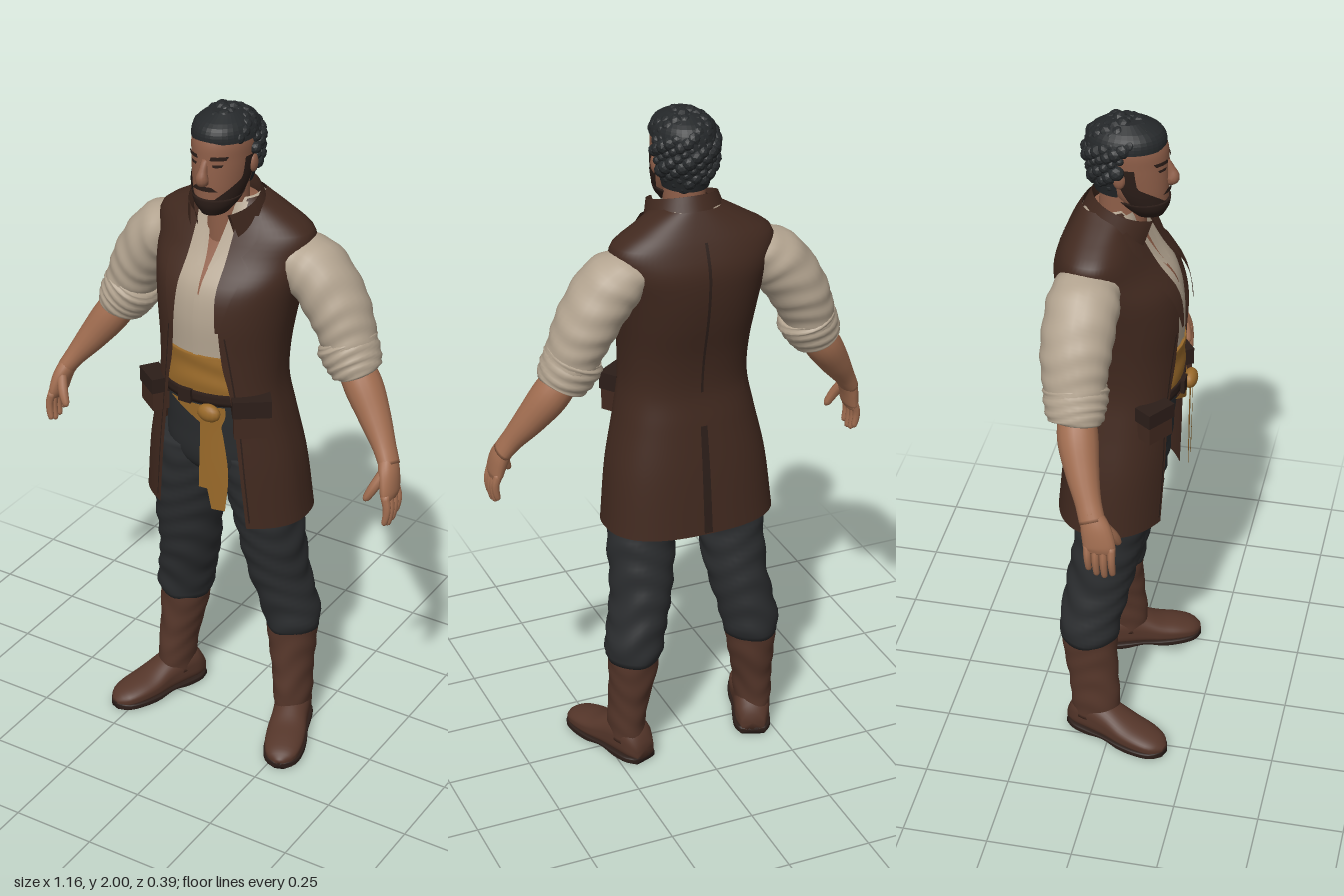
import * as THREE from 'three';
import { mergeGeometries } from 'three/addons/utils/BufferGeometryUtils.js';

const mat = (name, color, side = THREE.FrontSide) => {
  const m = new THREE.MeshStandardMaterial({ color, side });
  m.name = name;
  return m;
};

// Smooth (Hermite) lookup in a table whose first column is the height
function sample(T, y) {
  let i = 0;
  while (i < T.length - 2 && y > T[i + 1][0]) i++;
  const h = T[i + 1][0] - T[i][0], t = Math.min(1, Math.max(0, (y - T[i][0]) / h));
  const slope = (j, k) => {
    const a = T[Math.max(0, j - 1)], b = T[Math.min(T.length - 1, j + 1)];
    return (b[k] - a[k]) / (b[0] - a[0]);
  };
  return T[i].map((a, k) => {
    const b = T[i + 1][k], u = 1 - t;
    return a * (1 + 2 * t) * u * u + b * t * t * (3 - 2 * t) + h * t * u * (u * slope(i, k) - t * slope(i + 1, k));
  });
}

// Skin a list of rings, with optional wrap and end caps
function skin(rings, closed, caps) {
  const n = rings[0].length, pos = rings.flat(2), idx = [];
  for (let i = 0; i < rings.length - 1; i++)
    for (let j = 0; j < (closed ? n : n - 1); j++) {
      const k = (j + 1) % n, a = i * n + j, b = i * n + k;
      idx.push(a, b, b + n, a, b + n, a + n);
    }
  if (caps) [0, rings.length - 1].forEach((r, end) => {
    const c = pos.length / 3;
    for (let k = 0; k < 3; k++) pos.push(rings[r].reduce((s, p) => s + p[k], 0) / n);
    for (let j = 0; j < n; j++) {
      const a = r * n + j, b = r * n + (j + 1) % n;
      idx.push(c, end ? a : b, end ? b : a);
    }
  });
  const g = new THREE.BufferGeometry();
  g.setAttribute('position', new THREE.Float32BufferAttribute(pos, 3));
  g.setIndex(idx);
  g.computeVertexNormals();
  return g;
}

// Stack of horizontal sections. Table rows: [y, centreX, halfWidth, zFront, zBack]
function loft(T, { y0 = T[0][0], y1 = T[T.length - 1][0], rows = 24, n = 36, pf = 2, pb = 2, grow = 0, range, wrinkle = 0 } = {}) {
  const rings = [];
  for (let i = 0; i <= rows; i++) {
    const y = y0 + (y1 - y0) * i / rows, [, cx, hw, zf, zb] = sample(T, y), zc = (zf + zb) / 2;
    const [a0, a1] = range ? range(y) : [0, Math.PI * 2], ring = [];
    for (let j = 0; j < (range ? n + 1 : n); j++) {
      const a = a0 + (a1 - a0) * j / n, s = Math.sin(a), c = Math.cos(a), e = 2 / (c > 0 ? pf : pb);
      const g = grow + wrinkle * Math.sin(y * 75 + 2.5 * Math.sin(a * 2 + y * 9));
      ring.push([cx + Math.sign(s) * Math.abs(s) ** e * (hw + g), y, zc + Math.sign(c) * Math.abs(c) ** e * ((zf - zb) / 2 + g)]);
    }
    rings.push(ring);
  }
  return skin(rings, !range, !range);
}

// Tapered limb along a curve. Points: [x, y, z, radiusAcross, radiusDeep]
function limb(P, { rows = 20, n = 18, wrinkle = 0 } = {}) {
  const path = new THREE.CatmullRomCurve3(P.map(p => new THREE.Vector3(p[0], p[1], p[2])));
  const size = new THREE.CatmullRomCurve3(P.map(p => new THREE.Vector3(p[3], p[4] ?? p[3], 0)));
  const rings = [];
  for (let i = 0; i <= rows; i++) {
    const t = i / rows, c = path.getPoint(t), r = size.getPoint(t), d = path.getTangent(t), ring = [];
    const u = d.clone().cross(new THREE.Vector3(0, 0, 1)).normalize(), v = d.clone().cross(u);
    for (let j = 0; j < n; j++) {
      const a = j / n * Math.PI * 2, w = 1 + wrinkle * Math.sin(t * 38 + 2 * Math.sin(a * 2));
      ring.push(c.clone().addScaledVector(u, Math.cos(a) * r.x * w).addScaledVector(v, Math.sin(a) * r.y * w).toArray());
    }
    rings.push(ring);
  }
  return skin(rings, true, true);
}

const COAT = [[0.77, 0, .255, .163, -.182], [.95, 0, .235, .167, -.165], [1.1, 0, .203, .17, -.145], [1.2, 0, .185, .174, -.132],
  [1.3, 0, .186, .175, -.142], [1.42, 0, .2, .176, -.17], [1.51, 0, .215, .155, -.184], [1.58, 0, .23, .1, -.184],
  [1.645, 0, .232, .06, -.162], [1.69, 0, .165, .04, -.14], [1.735, 0, .085, .035, -.115]];
const HEAD = [[1.71, 0, .03, .1, .02], [1.74, 0, .054, .115, -.01], [1.78, 0, .069, .119, -.05], [1.82, 0, .077, .12, -.08],
  [1.87, 0, .082, .118, -.095], [1.92, 0, .083, .114, -.1], [1.96, 0, .068, .09, -.075], [1.98, 0, .035, .045, -.03]];
const LEG = [[.345, .188, .076, .012, -.152], [.375, .187, .085, .02, -.158], [.42, .18, .086, .026, -.156], [.55, .153, .09, .055, -.14],
  [.7, .14, .1, .085, -.118], [.85, .122, .108, .108, -.105], [.97, .105, .1, .12, -.105]];
const SHAFT = [[.06, .206, .05, .02, -.118], [.12, .206, .054, .026, -.122], [.2, .2, .058, .02, -.13], [.28, .192, .068, .015, -.145], [.365, .187, .077, .014, -.153]];
const FOOT = [[-.08, 0, .034, -.012, -.07], [-.05, 0, .05, -.012, -.12], [0, 0, .053, -.012, -.13], [.06, 0, .053, -.012, -.108],
  [.12, 0, .058, -.012, -.08], [.18, 0, .055, -.012, -.065], [.225, 0, .04, -.012, -.05], [.245, 0, .014, -.015, -.034]];
const SOLE = FOOT.map(([d, x, w]) => [d, x, w + .004, d > .01 && d < .1 ? -.01 : 0, -.022]);

export function createModel() {
  const coat = mat('coat brown', 0x41291f, THREE.DoubleSide), shirt = mat('shirt cream', 0xb3a490, THREE.DoubleSide);
  const sash = mat('sash ochre', 0x9a6a2a, THREE.DoubleSide), cloth = mat('trouser charcoal', 0x2b2d2f);
  const boot = mat('boot brown', 0x55362a), skinMat = mat('arm skin', 0xa26e51), face = mat('face skin', 0x8f5f49);
  const hair = mat('hair black', 0x25282a), leather = mat('dark leather', 0x2c1e19, THREE.DoubleSide);
  hair.flatShading = true;

  const model = new THREE.Group();
  const add = (name, geo, m) => {
    const mesh = new THREE.Mesh(geo, m);
    mesh.name = name;
    model.add(mesh);
    return mesh;
  };
  const both = (name, geo, m) => {
    add(name + 'Left', geo, m);
    const g = geo.clone().scale(-1, 1, 1), ix = g.index.array;
    for (let i = 0; i < ix.length; i += 3) [ix[i], ix[i + 1]] = [ix[i + 1], ix[i]];
    add(name + 'Right', g, m);
  };
  // Thin panel lying on the front of a table's surface. Rows: [y, x0, x1]
  const panel = (T, R, grow, pf = 2) => loft(T, {
    y0: R[0][0], y1: R[R.length - 1][0], rows: 12, n: 8, grow, pf,
    range: y => {
      const [, x0, x1] = sample(R, y), hw = sample(T, y)[2] + grow;
      return [x0, x1].map(x => Math.asin(Math.sign(x) * Math.min(1, Math.abs(x / hw) ** (pf / 2))));
    },
  });
  const opening = (T, R) => y => {
    const a = Math.asin(Math.min(1, sample(R, y)[1] / sample(T, y)[2]));
    return [a, Math.PI * 2 - a];
  };

  // Legs and boots
  both('trouserLeg', loft(LEG, { rows: 40, wrinkle: .003 }), cloth);
  add('trouserSeat', loft([[.87, 0, .1, .07, -.07], [.93, 0, .17, .12, -.11], [1.05, 0, .175, .14, -.12], [1.2, 0, .165, .155, -.115]]), cloth);
  both('bootShaft', loft(SHAFT, { wrinkle: .0015 }), boot);
  const footPlace = g => g.rotateX(Math.PI / 2).rotateY(.36).translate(.205, 0, -.05);
  both('bootFoot', footPlace(loft(FOOT, { pf: 4 })), boot);
  both('bootSole', footPlace(loft(SOLE, { pf: 5, pb: 5 })), leather);

  // Torso, shirt with open neck, waist sash and belt
  add('chest', loft(COAT, { y0: 1.4, y1: 1.72, grow: -.025, pb: 2.6 }), face);
  add('shirt', loft(COAT, { y0: 1.18, y1: 1.735, grow: -.012, pb: 2.6, rows: 36, range: opening(COAT, [[1.18, 0], [1.49, .002], [1.6, .016], [1.735, .055]]) }), shirt);
  add('shirtPlacket', panel(COAT, [[1.31, -.008, .008], [1.49, -.008, .008]], -.009), shirt);
  both('shirtCollar', panel(COAT, [[1.56, .012, .022], [1.62, .022, .05], [1.69, .035, .075], [1.73, .045, .075]], .004), shirt);
  add('waistSash', loft(COAT, { y0: 1.19, y1: 1.31, grow: -.007, pb: 2.6, wrinkle: .002 }), sash);
  add('belt', loft(COAT, { y0: 1.16, y1: 1.195, grow: -.004, pb: 2.6, rows: 3 }), leather);
  add('buckle', new THREE.BoxGeometry(.04, .042, .012).translate(-.03, 1.178, .173), leather);
  add('sashWrap', panel(COAT, [[1.1, .02, .08], [1.13, -.03, .09], [1.16, -.085, .09]], .002), sash);
  add('sashTailLong', panel(COAT, [[.83, .055, .095], [.95, .035, .105], [1.08, .03, .09], [1.16, .02, .075]], .014), sash);
  add('sashTailShort', panel(COAT, [[.9, .02, .05], [1.02, .025, .07], [1.15, .03, .07]], .02), sash);
  add('sashKnot', new THREE.SphereGeometry(.03, 14, 10).scale(1.2, .9, .7).translate(.05, 1.145, .178), sash);

  // Sleeveless coat, lapels, collar, trims
  add('coat', loft(COAT, { rows: 56, n: 60, pb: 2.6, range: opening(COAT, [[.77, .145], [.95, .128], [1.1, .112], [1.2, .1], [1.3, .08], [1.5, .068], [1.735, .068]]) }), coat);
  both('coatLapel', panel(COAT, [[1.4, .07, .08], [1.5, .062, .105], [1.58, .06, .125], [1.6, .06, .1], [1.64, .06, .13], [1.7, .062, .12]], .012), coat);
  both('frontSeam', panel(COAT, [[.79, .153, .157], [1.1, .124, .128], [1.38, .088, .092]], .003), leather);
  const COLLAR = [[0, 0, .1, .085, -.1], [.04, 0, .092, .085, -.1], [.08, 0, .098, .098, -.11]];
  const collar = add('coatCollar', loft(COLLAR, { rows: 8, range: () => [.62, Math.PI * 2 - .62] }), coat);
  collar.position.set(0, 1.663, -.008);
  collar.rotation.x = .3;
  const fold = add('coatCollarFold', loft([[0, 0, .122, .1, -.122], [.08, 0, .099, .099, -.111]], { rows: 4, range: () => [.68, Math.PI * 2 - .68] }), coat);
  fold.position.copy(collar.position);
  fold.rotation.x = .3;
  const backStrip = (name, y0, y1, w, grow) => add(name, loft(COAT, { y0, y1, grow, pb: 2.6, rows: 14, n: 12, range: () => [Math.PI - w, Math.PI + w] }), leather);
  backStrip('backVent', .775, 1.1, .02, .003);
  backStrip('backSeam', 1.2, 1.66, .006, .002);
  backStrip('backWaistTab', 1.165, 1.2, .75, .004).material = coat;

  // Belt pouches on the hips
  for (const [name, x, w, h] of [['pouchLeft', .152, .1, .115], ['pouchRight', -.165, .085, .1]]) {
    const pouch = new THREE.Group();
    pouch.name = name;
    const body = new THREE.Mesh(new THREE.BoxGeometry(w, h, .05), coat);
    const flap = new THREE.Mesh(new THREE.BoxGeometry(w + .01, h * .45, .058), leather);
    body.name = 'pouchBody';
    flap.name = 'pouchFlap';
    flap.position.y = h * .3;
    pouch.add(body, flap);
    pouch.position.set(x, 1.135, .118);
    pouch.rotation.y = Math.sign(x) * .62;
    model.add(pouch);
  }

  // Arms with rolled sleeves
  both('sleeve', limb([[.17, 1.585, -.06, .06, .085], [.25, 1.535, -.065, .088, .1], [.315, 1.445, -.068, .086, .098], [.35, 1.37, -.065, .078, .088], [.375, 1.3, -.058, .07, .08]], { rows: 40, n: 24, wrinkle: .02 }), shirt);
  both('sleeveRoll', limb([[.342, 1.36, -.063, .07, .08], [.352, 1.34, -.061, .085, .09], [.374, 1.3, -.057, .08, .085], [.39, 1.27, -.052, .07, .074], [.392, 1.265, -.052, .05, .055]], { rows: 24, n: 24, wrinkle: .03 }), shirt);
  both('forearm', limb([[.37, 1.3, -.055, .048], [.415, 1.235, -.043, .054, .056], [.47, 1.155, -.018, .044, .046], [.515, 1.09, .008, .031, .036], [.54, 1.05, .024, .026, .036]]), skinMat);
  both('palm', limb([[.528, 1.075, .014, .026, .03], [.545, 1.03, .034, .025, .042], [.555, .985, .045, .021, .045], [.558, .965, .046, .014, .04]]), skinMat);
  const fingers = [0, 1, 2, 3].map(i => {
    const z = .013 + i * .022, l = [.055, .07, .075, .065][i];
    return limb([[.556, .985, z, .013, .012], [.566, .985 - l * .6, z + .002, .012, .011], [.56, .965 - l, z + .004, .009, .009], [.556, .96 - l, z + .004, .004, .004]], { rows: 10, n: 8 });
  });
  fingers.push(limb([[.54, 1.045, .05, .016], [.52, 1.0, .075, .015], [.503, .965, .086, .011], [.498, .957, .087, .004]], { rows: 10, n: 8 }));
  both('fingers', mergeGeometries(fingers), skinMat);

  // Head and face
  add('neck', loft([[1.6, 0, .07, .055, -.09], [1.68, 0, .058, .058, -.075], [1.79, 0, .058, .06, -.07]]), face);
  add('head', loft(HEAD, { rows: 32 }), face);
  add('nose', limb([[0, 1.875, .11, .01, .008], [0, 1.845, .122, .012, .015], [0, 1.822, .128, .018, .02], [0, 1.808, .118, .014, .012]], { rows: 12, n: 12 }), face);
  both('ear', new THREE.SphereGeometry(.024, 10, 8).scale(.45, 1.15, .75).translate(.084, 1.845, 0), face);
  both('eyebrow', panel(HEAD, [[1.877, .018, .056], [1.888, .022, .062]], .004), leather);
  both('eye', panel(HEAD, [[1.857, .026, .046], [1.865, .024, .05]], .002), leather);

  // Beard and moustache
  add('chinBeard', loft(HEAD, { y1: 1.762, grow: .006, rows: 8 }), leather);
  both('cheekBeard', loft(HEAD, { y0: 1.755, y1: 1.875, grow: .005, rows: 12, n: 10, range: y => [Math.min(1.3, .3 + (y - 1.755) * 16), 1.75] }), leather);
  add('moustache', panel(HEAD, [[1.787, -.04, .04], [1.801, -.024, .024]], .005), leather);

  // Curly hair: cap plus lumps spread on a spiral
  const CAP = [[1.78, 0, .066, .07, -.085], [1.86, 0, .087, .09, -.108], [1.92, 0, .09, .112, -.11], [1.96, 0, .076, .1, -.092], [1.985, 0, .04, .05, -.045]];
  add('hairBack', loft(CAP, { y1: 1.92, rows: 10, range: () => [Math.PI / 2, Math.PI * 1.5] }), hair);
  add('hairTop', loft(CAP, { y0: 1.92, rows: 8 }), hair);
  const curls = [];
  for (let i = 0; i < 210; i++) {
    const v = 1 - 2 * (i + .5) / 210, r = Math.sqrt(1 - v * v), a = i * 2.39996;
    const x = .086 * r * Math.sin(a), y = 1.89 + v * (v > 0 ? .088 : .125), z = -.004 + .1 * r * Math.cos(a);
    if (y < 1.79 || (y < 1.925 && z > .012 - (1.92 - y) * .3)) continue;
    curls.push(new THREE.IcosahedronGeometry(.017 + .005 * Math.sin(i * 7.3), 1).rotateX(i).rotateZ(i * 1.7).translate(x, y, z));
  }
  add('hairCurls', mergeGeometries(curls), hair);

  return model;
}
